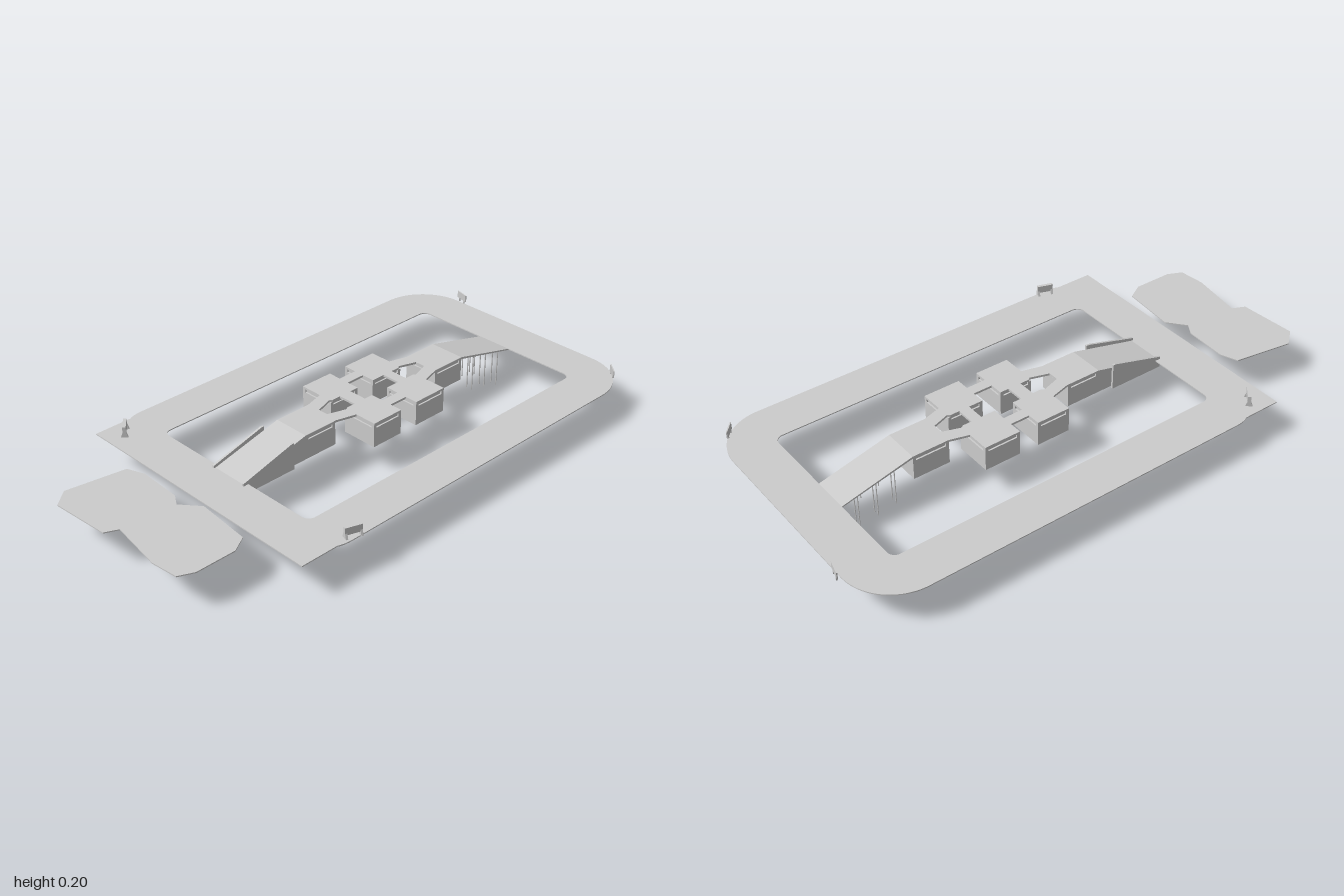
import * as THREE from 'three';

const CX = -0.005; // centre line of the bridge

export function createModel() {
  const root = new THREE.Group();
  const grey = new THREE.MeshStandardMaterial({ color: 0xcccccc, side: THREE.DoubleSide });
  grey.name = 'concrete grey';

  const add = (name, geo, parent = root) => {
    const m = new THREE.Mesh(geo, grey);
    m.name = name;
    parent.add(m);
    return m;
  };
  const box = (name, x0, x1, y0, y1, z0, z1, parent = root) =>
    add(name, new THREE.BoxGeometry(x1 - x0, y1 - y0, z1 - z0)
      .translate((x0 + x1) / 2, (y0 + y1) / 2, (z0 + z1) / 2), parent);
  const pts = (list) => list.map(([a, b]) => new THREE.Vector2(a, b));
  // Flat slab from a plan in (x, z), hanging down from height top
  const slab = (name, shape, top, depth) =>
    add(name, new THREE.ExtrudeGeometry(shape, { depth, bevelEnabled: false, curveSegments: 10 })
      .rotateX(Math.PI / 2).translate(0, top, 0));
  // Side profile in (z, y), extruded across x0..x1
  const profile = (name, list, x0, x1) =>
    add(name, new THREE.ExtrudeGeometry(new THREE.Shape(pts(list)), { depth: x1 - x0, bevelEnabled: false })
      .rotateY(-Math.PI / 2).translate(x1, 0, 0));
  // Closed outline from its right half, in (offset from centre line, z)
  const mirrored = (half) => pts([
    ...half.map(([u, z]) => [CX + u, z]),
    ...half.slice().reverse().map(([u, z]) => [CX - u, z]),
  ]);

  // Ring road: round corners at the back, square ones at the front
  const road = new THREE.Shape();
  road.moveTo(-0.518, 0.655);
  road.lineTo(-0.518, 0.51);
  road.quadraticCurveTo(-0.53, 0.49, -0.53, 0.45);
  road.lineTo(-0.53, -0.79);
  road.absarc(-0.34, -0.79, 0.19, Math.PI, Math.PI * 1.5, false);
  road.absarc(0.33, -0.79, 0.19, Math.PI * 1.5, Math.PI * 2, false);
  road.lineTo(0.52, 0.45);
  road.quadraticCurveTo(0.52, 0.49, 0.51, 0.51);
  road.lineTo(0.51, 0.655);
  road.closePath();
  const inner = new THREE.Path();
  const r = 0.03;
  inner.absarc(-0.365 + r, -0.815 + r, r, Math.PI, Math.PI * 1.5, false);
  inner.absarc(0.355 - r, -0.815 + r, r, Math.PI * 1.5, Math.PI * 2, false);
  inner.absarc(0.355 - r, 0.485 - r, r, 0, Math.PI / 2, false);
  inner.absarc(-0.365 + r, 0.485 - r, r, Math.PI / 2, Math.PI, false);
  inner.closePath();
  road.holes.push(inner);
  slab('ringRoad', road, 0.131, 0.004);

  // Separate forecourt plate
  slab('forecourt', new THREE.Shape(pts([
    [-0.265, 0.715], [-0.2, 0.69], [-0.035, 0.698], [0.008, 0.725], [0.075, 0.67],
    [0.285, 0.69], [0.32, 0.75], [0.32, 0.9], [0.295, 0.955], [0.195, 0.965],
    [-0.008, 0.932], [-0.03, 0.98], [-0.25, 0.995], [-0.3, 0.935],
  ])), 0.136, 0.004);

  // Bridge deck with its openings
  const deck = new THREE.Shape(mirrored([
    [0.07, -0.545], [0.07, -0.405], [0.09, -0.335], [0.175, -0.335], [0.175, -0.195],
    [0.125, -0.195], [0.125, -0.12], [0.175, -0.12], [0.175, 0.01], [0.09, 0.01],
    [0.07, 0.085], [0.07, 0.225],
  ]));
  for (const half of [
    [[0.02, -0.4], [0.042, -0.335], [0.035, -0.325], [0.035, -0.29]],
    [[0.035, -0.25], [0.035, -0.195], [0.085, -0.195], [0.085, -0.12], [0.035, -0.12], [0.035, -0.085]],
    [[0.035, -0.035], [0.035, 0], [0.042, 0.01], [0.02, 0.08]],
  ]) deck.holes.push(new THREE.Path(mirrored(half)));
  slab('bridgeDeck', deck, 0.198, 0.008);

  // Hollow rooms under the deck, open below, with a recessed slot under the roof
  const room = (name, x0, x1, z0, z1) => {
    const g = new THREE.Group();
    g.name = name;
    root.add(g);
    const t = 0.006, y0 = 0.105, y1 = 0.178, y2 = 0.19, c = 0.012;
    box('sideWall', x0, x0 + t, y0, y1, z0, z1, g);
    box('sideWall', x1 - t, x1, y0, y1, z0, z1, g);
    box('endWall', x0 + t, x1 - t, y0, y1, z0, z0 + t, g);
    box('endWall', x0 + t, x1 - t, y0, y1, z1 - t, z1, g);
    box('slotCore', x0 + t, x1 - t, y1 - 0.003, y2, z0 + t, z1 - t, g);
    for (const x of [x0, x1 - c]) for (const z of [z0, z1 - c])
      box('cornerPost', x, x + c, y1, y2, z, z + c, g);
  };
  for (const [z0, z1] of [[-0.335, -0.195], [-0.12, 0.01]]) {
    room('leftRoom', CX + 0.035, CX + 0.175, z0, z1);
    room('rightRoom', CX - 0.175, CX - 0.035, z0, z1);
  }
  room('backRoom', CX - 0.07, CX + 0.07, -0.545, -0.405);
  room('frontRoom', CX - 0.07, CX + 0.07, 0.09, 0.225);

  // Ramps running down to and under the road
  profile('frontRamp', [[0.225, 0.198], [0.6, 0.106], [0.6, 0.102], [0.225, 0.19]], CX - 0.07, CX + 0.07);
  profile('backRamp', [[-0.545, 0.198], [-0.9, 0.11], [-0.9, 0.106], [-0.545, 0.19]], CX - 0.07, CX + 0.07);

  // Front ramp side walls
  for (const s of [-1, 1]) {
    const a = CX + s * 0.064, b = CX + s * 0.07, c = CX + s * 0.078;
    profile('rampBase', [[0.225, 0.105], [0.295, 0.105], [0.295, 0.176], [0.225, 0.193]],
      Math.min(a, b), Math.max(a, b));
    profile('rampWall', [[0.285, 0.097], [0.505, 0.097], [0.505, 0.14], [0.295, 0.198], [0.285, 0.198]],
      Math.min(b, c), Math.max(b, c));
  }
  box('rampBaseEnd', CX - 0.064, CX + 0.064, 0.105, 0.176, 0.289, 0.295);

  // Thin stilts under the back ramp
  for (const [z, foot] of [[-0.615, 0.035], [-0.685, 0.02], [-0.755, 0]]) {
    const top = 0.192 + (z + 0.545) * 0.248;
    for (const x of [-0.07, -0.047, 0.038, 0.062])
      add('stilt', new THREE.CylinderGeometry(0.0022, 0.0022, top - foot, 6)
        .translate(x, (top + foot) / 2, z));
  }

  // Roadside boards
  const board = (name, x, z, turn, wide, thick, y0, y1) => {
    const g = new THREE.Group();
    g.name = name;
    g.position.set(x, 0, z);
    g.rotation.y = turn;
    root.add(g);
    box('panel', -wide / 2, wide / 2, y0, y1, -thick / 2, thick / 2, g);
    return g;
  };
  for (const [x, z, turn] of [[-0.455, 0.58, -0.7], [0.506, 0.44, 1.25]]) {
    const g = board('frontBoard', x, z, turn, 0.06, 0.012, 0.143, 0.17);
    // Flared foot
    const foot = new THREE.Shape(pts([[-0.013, 0.13], [0.013, 0.13], [0.006, 0.15], [-0.006, 0.15]]));
    for (const fx of [-0.022, 0.03])
      add('foot', new THREE.ExtrudeGeometry(foot, { depth: 0.008, bevelEnabled: false })
        .rotateY(-Math.PI / 2).translate(fx, 0, 0), g);
  }
  for (const [x, z, turn] of [[-0.325, -0.99, -0.25], [0.46, -0.925, -0.72]]) {
    const g = board('backBoard', x, z, turn, 0.055, 0.004, 0.138, 0.165);
    for (const lx of [-0.015, 0.015])
      box('leg', lx - 0.002, lx + 0.002, 0.125, 0.14, -0.002, 0.002, g);
  }
  return root;
}
